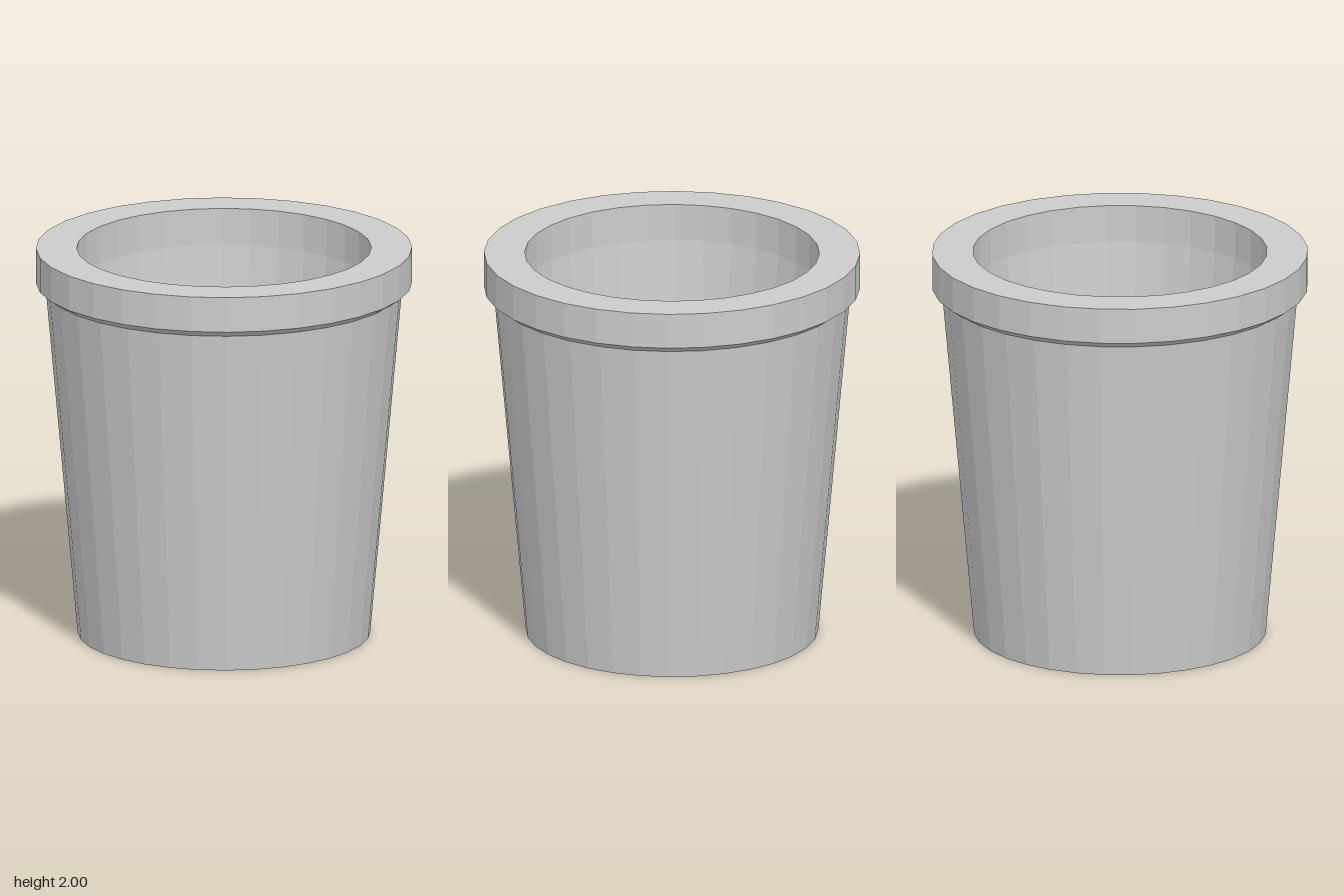
import * as THREE from 'three';

const SIDES = 32;

// Revolve a [radius, height] profile into a faceted, named part
function turned(name, profile, material) {
  const points = profile.map(([r, y]) => new THREE.Vector2(r, y));
  const mesh = new THREE.Mesh(new THREE.LatheGeometry(points, SIDES), material);
  mesh.name = name;
  return mesh;
}

export function createModel() {
  const group = new THREE.Group();
  group.name = 'pot';
  const material = new THREE.MeshStandardMaterial({ color: 0xcccccc, flatShading: true });

  group.add(
    // Underside and tapered outer wall
    turned('outerWall', [[0, 0], [0.735, 0], [0.895, 1.785]], material),
    // Chamfered lip with a flat top and a straight inner edge
    turned('rim', [[0.895, 1.785], [0.945, 1.82], [0.945, 2], [0.74, 2], [0.74, 1.81]], material),
    // Hollow interior, parallel to the outer wall, down to the floor
    turned('innerWall', [[0.74, 1.81], [0.572, 0.16]], material),
    turned('floor', [[0.572, 0.16], [0, 0.16]], material),
  );
  return group;
}
